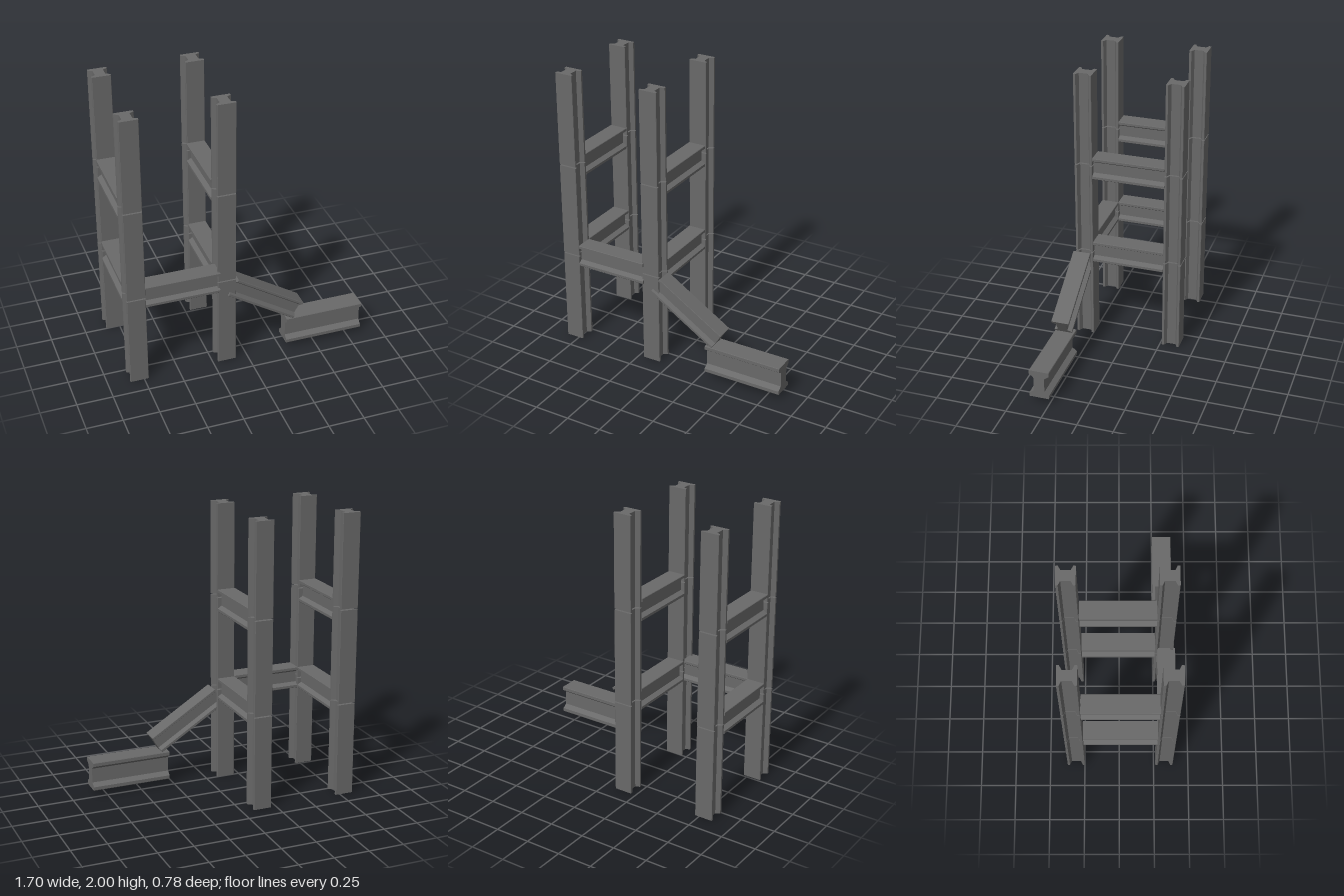
import * as THREE from 'three';

// Tapered I-profile: w = flange width, h = overall depth
function profile(w, h) {
  const quarter = [[0.48, 0.5], [0.5, 0.48], [0.5, 0.37], [0.27, 0.25]];
  const right = [...quarter, ...quarter.map(([x, y]) => [x, -y]).reverse()];
  const outline = [...right, ...right.map(([x, y]) => [-x, y]).reverse()];
  return new THREE.Shape(outline.map(([x, y]) => new THREE.Vector2(x * w, y * h)));
}

// Dark steel
const material = new THREE.MeshStandardMaterial({ color: 0x696969, flatShading: true });

// Girder centred on its own origin, running along z, web upright in y
function girder(name, w, h, length) {
  const geo = new THREE.ExtrudeGeometry(profile(w, h), { depth: length, bevelEnabled: false });
  geo.translate(0, 0, -length / 2);
  const mesh = new THREE.Mesh(geo, material);
  mesh.name = name;
  return mesh;
}

export function createModel() {
  const model = new THREE.Group();
  model.name = 'girderFrame';

  // Four columns, each stacked from three girders with narrow gaps
  const segments = [[0, 0.663], [0.672, 1.335], [1.344, 2]];
  const columns = [
    ['frontRightColumn', -0.783, 0.326],
    ['backRightColumn', -0.783, -0.312],
    ['frontLeftColumn', -0.148, 0.311],
    ['backLeftColumn', -0.148, -0.327],
  ];
  for (const [name, x, z] of columns) {
    const column = new THREE.Group();
    column.name = name;
    for (const [y0, y1] of segments) {
      const part = girder('columnSegment', 0.129, 0.126, y1 - y0);
      part.rotation.x = -Math.PI / 2;
      part.position.set(x, (y0 + y1) / 2, z);
      column.add(part);
    }
    model.add(column);
  }

  // Side crossbeams joining front and back columns over each gap
  for (const y of [0.671, 1.319]) {
    for (const [name, x, z] of [['rightCrossbeam', -0.785, 0.008], ['leftCrossbeam', -0.151, -0.007]]) {
      const beam = girder(name, 0.13, 0.156, 0.51);
      beam.position.set(x, y, z);
      model.add(beam);
    }
  }

  // Front crossbeam, fallen brace and loose girder, all running along x
  const lengthwise = [
    ['frontCrossbeam', 0.126, 0.156, 0.52, -0.459, 0.671, 0.326, 0],
    ['fallenBrace', 0.126, 0.137, 0.562, 0.132, 0.457, 0.326, -0.564],
    ['looseGirder', 0.141, 0.206, 0.563, 0.567, 0.149, 0.318, 0],
  ];
  for (const [name, w, h, length, x, y, z, tilt] of lengthwise) {
    const beam = girder(name, w, h, length);
    beam.rotation.set(0, Math.PI / 2, tilt, 'ZYX');
    beam.position.set(x, y, z);
    model.add(beam);
  }

  return model;
}
